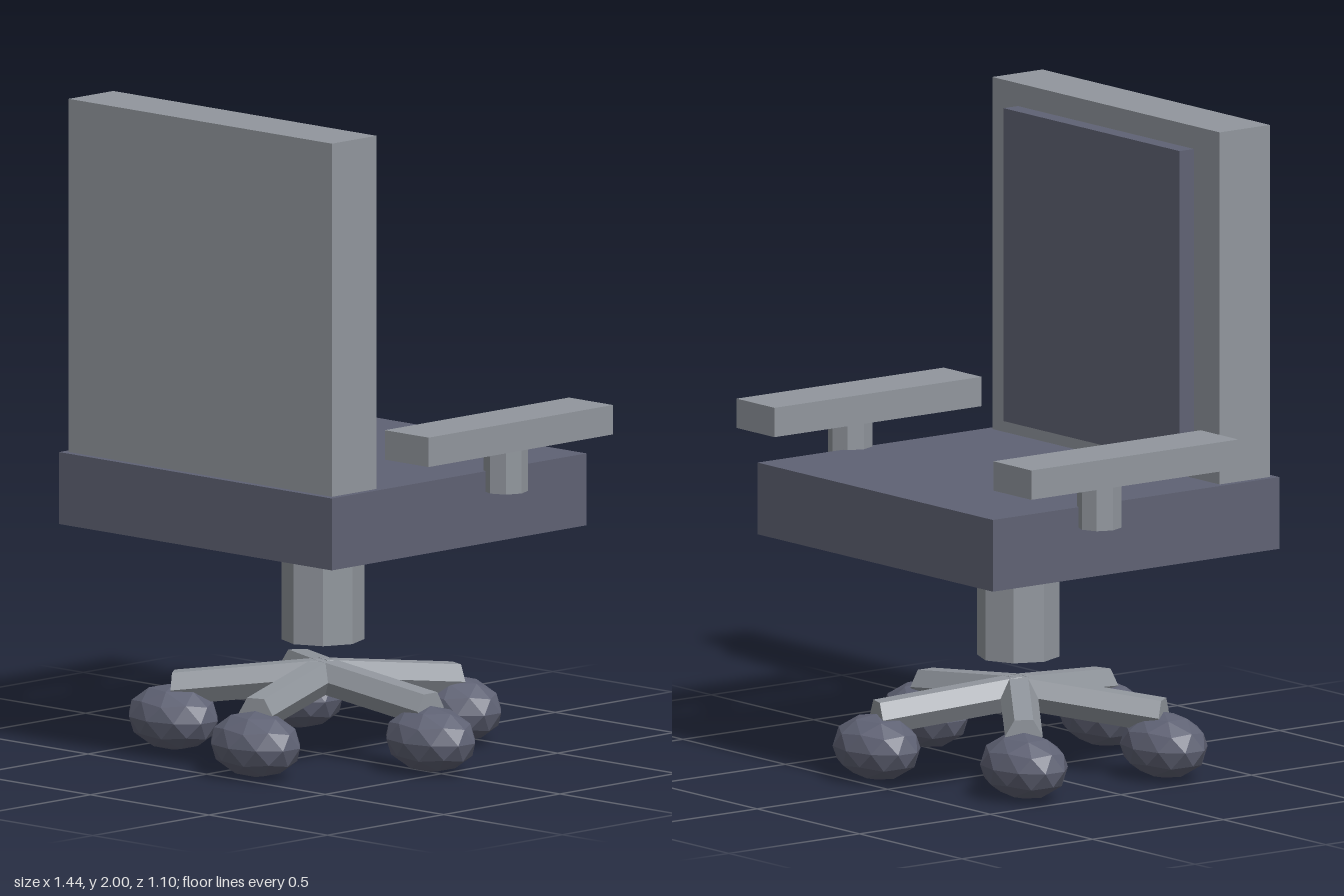
import * as THREE from 'three';

export function createModel() {
  const chair = new THREE.Group();
  chair.name = 'officeChair';

  const frameGrey = new THREE.MeshStandardMaterial({ color: 0x91969d });
  frameGrey.name = 'frameGrey';
  const cushionSlate = new THREE.MeshStandardMaterial({ color: 0x5f6274 });
  cushionSlate.name = 'cushionSlate';

  // Adds a flat-faced mesh to the chair
  function add(name, geometry, material, x = 0, y = 0, z = 0) {
    const flat = geometry.index ? geometry.toNonIndexed() : geometry;
    flat.computeVertexNormals();
    const mesh = new THREE.Mesh(flat, material);
    mesh.name = name;
    mesh.position.set(x, y, z);
    chair.add(mesh);
    return mesh;
  }

  // Box given by its minimum and maximum corners
  function addBox(name, material, [x0, y0, z0], [x1, y1, z1]) {
    return add(name, new THREE.BoxGeometry(x1 - x0, y1 - y0, z1 - z0), material,
      (x0 + x1) / 2, (y0 + y1) / 2, (z0 + z1) / 2);
  }

  // Seat, backrest and back cushion; the backrest stands at +z
  addBox('seat', cushionSlate, [-0.575, 0.7, -0.548], [0.575, 0.92, 0.548]);
  addBox('backrest', frameGrey, [-0.555, 0.915, 0.335], [0.555, 2, 0.527]);
  addBox('backCushion', cushionSlate, [-0.43, 0.97, 0.28], [0.43, 1.93, 0.34]);

  // Armrests on short octagonal posts
  for (const [side, s] of [['left', 1], ['right', -1]]) {
    add(side + 'Armrest', new THREE.BoxGeometry(0.185, 0.09, 0.793), frameGrey, s * 0.627, 1.045, -0.118);
    add(side + 'ArmPost', new THREE.CylinderGeometry(0.067, 0.067, 0.145, 8), frameGrey, s * 0.608, 0.93, -0.167);
  }

  // Octagonal column under the seat
  add('column', new THREE.CylinderGeometry(0.125, 0.125, 0.355, 8), frameGrey, 0, 0.5275, 0);

  // Five-spoke base: six-sided spokes sloping down to the casters
  const reach = 0.455;
  const poleTilt = -Math.atan(2 / (1 + Math.sqrt(5)));
  for (let i = 0; i < 5; i++) {
    const angle = (i / 5) * Math.PI * 2;
    const spoke = new THREE.CylinderGeometry(0.057, 0.057, reach, 6);
    spoke.rotateZ(-Math.PI / 2);
    spoke.translate(reach / 2, 0, 0);
    // Turn a flat side up, then shear the spoke downwards
    spoke.rotateX(Math.PI / 6);
    const p = spoke.attributes.position;
    if (Math.abs(topWidth(p)) < 0.01) spoke.rotateX(Math.PI / 6);
    for (let k = 0; k < p.count; k++) p.setY(k, p.getY(k) - 0.11 * p.getX(k));
    spoke.rotateY(angle);
    add('spoke' + (i + 1), spoke, frameGrey, 0, 0.241, 0);

    // Flattened faceted caster, all five lying along x
    const caster = new THREE.IcosahedronGeometry(1, 1);
    caster.rotateZ(poleTilt);
    caster.scale(0.16, 0.101, 0.117);
    add('caster' + (i + 1), caster, cushionSlate,
      reach * Math.cos(angle), 0.101, -reach * Math.sin(angle));
  }
  return chair;
}

// Half-width of the highest edge of a spoke, zero when a ridge points up
function topWidth(p) {
  let top = -Infinity, width = 0;
  for (let k = 0; k < p.count; k++) {
    if (p.getY(k) > top + 1e-5) { top = p.getY(k); width = 0; }
    if (p.getY(k) > top - 1e-5) width = Math.max(width, Math.abs(p.getZ(k)));
  }
  return width;
}
